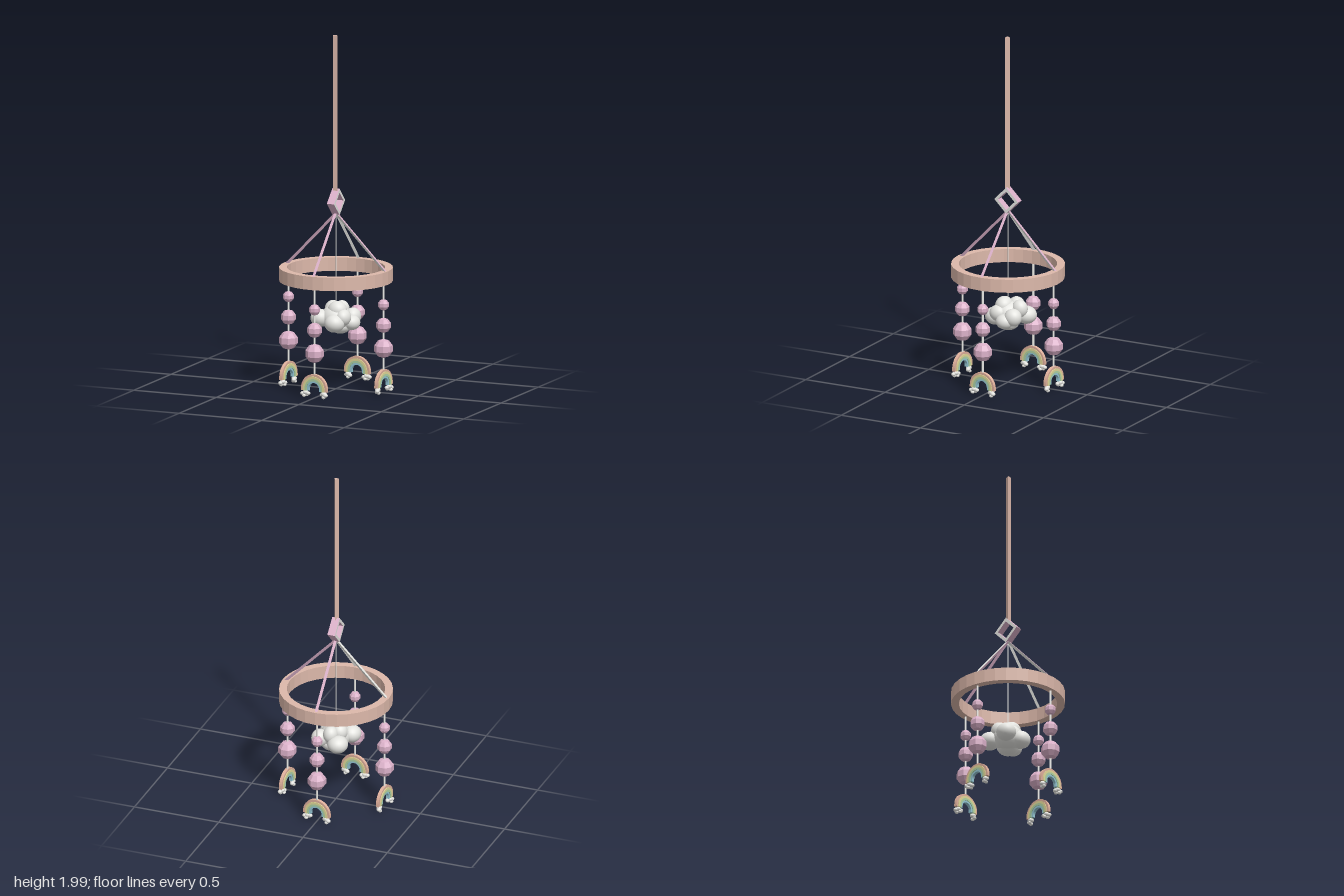
import * as THREE from 'three';

const mat = (name, color) => {
  const m = new THREE.MeshStandardMaterial({ color });
  m.name = name;
  return m;
};

// Split the faces so every facet gets its own flat normal
const facet = (geo) => {
  const g = geo.index ? geo.toNonIndexed() : geo;
  g.computeVertexNormals();
  return g;
};

export function createModel() {
  const wood = mat('wood', 0xdcb8aa);
  const pink = mat('pink', 0xdab0c8);
  const white = mat('white', 0xe4e4e0);
  const bands = [mat('peach', 0xdfb09c), mat('yellow', 0xe2d898), mat('green', 0xaed2a4), mat('blue', 0x94c6d4)];

  const model = new THREE.Group();
  model.name = 'hangingMobile';
  const add = (parent, name, geo, material, x = 0, y = 0, z = 0) => {
    const m = new THREE.Mesh(geo, material);
    m.name = name;
    m.position.set(x, y, z);
    parent.add(m);
    return m;
  };
  const cord = (parent, name, r, y0, y1) =>
    add(parent, name, facet(new THREE.CylinderGeometry(r, r, y1 - y0, 4)), white, 0, (y0 + y1) / 2, 0);

  // Three-sided hanging cord with its flat side to the front
  const pole = add(model, 'hangingCord', facet(new THREE.CylinderGeometry(0.016, 0.016, 0.88, 3)), wood, 0, 1.56, 0.003);
  pole.rotation.y = Math.PI;

  // Diamond link: white rims, pink bands
  const diamond = (r) => [[r, 0], [0, r], [-r, 0], [0, -r]].map(([x, y]) => new THREE.Vector2(x, y));
  const link = new THREE.Shape(diamond(0.075));
  link.holes.push(new THREE.Path(diamond(0.053)));
  const linkGeo = new THREE.ExtrudeGeometry(link, { depth: 0.044, bevelEnabled: false });
  linkGeo.translate(0, 0, -0.022);
  add(model, 'diamondLink', linkGeo, [white, pink], 0, 1.062, 0).rotation.y = Math.PI / 2;

  // Wooden hoop
  const [ro, ri, y0, y1] = [0.315, 0.272, 0.62, 0.695];
  const profile = [[ro, y0], [ro, y1], [ri, y1], [ri, y0], [ro, y0]].map(([x, y]) => new THREE.Vector2(x, y));
  add(model, 'hoop', facet(new THREE.LatheGeometry(profile, 32)), wood);

  // Sloping ribbon, pink on the top and one side, white on the other
  const start = new THREE.Vector3(0, 1.0, 0);
  const end = new THREE.Vector3(0.298, 0.692, 0);
  const dir = end.clone().sub(start);
  const ribbonGeo = new THREE.CylinderGeometry(0.0095, 0.0095, dir.length(), 3, 1, true);
  ribbonGeo.clearGroups();
  [0, 1, 2].forEach((i) => ribbonGeo.addGroup(i * 6, 6, i));
  const ribbonFlat = facet(ribbonGeo);
  dir.normalize();
  const down = new THREE.Vector3(dir.y, -dir.x, 0);
  const basis = new THREE.Matrix4().makeBasis(dir.clone().cross(down), dir, down);
  ribbonFlat.applyMatrix4(basis);

  // Arch band between two radii with short straight legs
  const archBand = (a, b, depth) => {
    const s = new THREE.Shape();
    s.moveTo(a, -0.012);
    s.lineTo(a, 0);
    s.absarc(0, 0, a, 0, Math.PI, false);
    s.lineTo(-a, -0.012);
    s.lineTo(-b, -0.012);
    s.lineTo(-b, 0);
    s.absarc(0, 0, b, Math.PI, 0, true);
    s.lineTo(b, -0.012);
    const g = new THREE.ExtrudeGeometry(s, { depth, bevelEnabled: false, curveSegments: 12 });
    return g.translate(0, 0, -depth / 2);
  };
  const radii = [0.083, 0.07, 0.057, 0.045, 0.034];
  const depths = [0.018, 0.026, 0.026, 0.018];
  const puff = new THREE.SphereGeometry(1, 10, 8);

  for (let i = 0; i < 4; i++) {
    // One side of the mobile, laid out along +x
    const side = new THREE.Group();
    side.name = 'side' + (i + 1);
    side.rotation.y = (i * Math.PI) / 2;
    model.add(side);
    add(side, 'ribbon', ribbonFlat, i === 2 ? [pink, white, white] : [pink, pink, white],
      end.x / 2, (start.y + end.y) / 2, 0);

    const strand = new THREE.Group();
    strand.name = 'strand';
    strand.position.x = 0.288;
    side.add(strand);
    cord(strand, 'string', 0.007, 0.14, 0.625);

    // Faceted beads growing downward
    [[0.505, 0.032], [0.39, 0.043], [0.26, 0.054]].forEach(([y, r]) => {
      const bead = add(strand, 'bead', facet(new THREE.SphereGeometry(r, 8, 5)), pink, 0, y, 0);
      bead.rotation.y = Math.PI / 8;
    });

    // Pastel arch, slightly twisted, with puffs at its feet
    const arch = new THREE.Group();
    arch.name = 'rainbow';
    arch.position.y = 0.06;
    arch.rotation.y = Math.PI / 2 - 0.13;
    strand.add(arch);
    bands.forEach((m, k) => add(arch, 'rainbowBand', archBand(radii[k], radii[k + 1], depths[k]), m));
    for (const s of [-1, 1]) {
      [[0.06, -0.024, 0, 0.016], [0.074, -0.03, 0.006, 0.013], [0.046, -0.03, -0.006, 0.013],
        [0.064, -0.041, 0.008, 0.011], [0.056, -0.04, -0.01, 0.01]].forEach(([x, y, z, r]) => {
        add(arch, 'footPuff', puff, white, s * x, y, z).scale.set(r * 1.1, r * 0.85, r);
      });
    }
  }

  // Central cloud on its thread: x, y, z and three radii per lump
  cord(model, 'cloudThread', 0.0025, 0.48, 1.0);
  const lump = new THREE.SphereGeometry(1, 24, 16);
  [
    [0, 0.41, 0, 0.085, 0.075, 0.085],
    [-0.045, 0.4, -0.09, 0.058, 0.05, 0.06],
    [0.002, 0.445, -0.075, 0.042, 0.05, 0.046],
    [0.07, 0.41, -0.07, 0.046, 0.05, 0.05],
    [0.085, 0.385, -0.025, 0.046, 0.042, 0.05],
    [-0.076, 0.41, 0.042, 0.054, 0.05, 0.056],
    [-0.035, 0.45, -0.035, 0.045, 0.05, 0.047],
    [0.015, 0.455, 0.015, 0.055, 0.052, 0.05],
    [0.022, 0.39, 0.07, 0.056, 0.05, 0.055],
    [0.058, 0.42, 0.03, 0.042, 0.046, 0.05],
    [0.02, 0.365, -0.015, 0.06, 0.045, 0.06],
  ].forEach(([x, y, z, a, b, c]) => add(model, 'cloudLump', lump, white, x, y, z).scale.set(a, b, c));

  return model;
}
